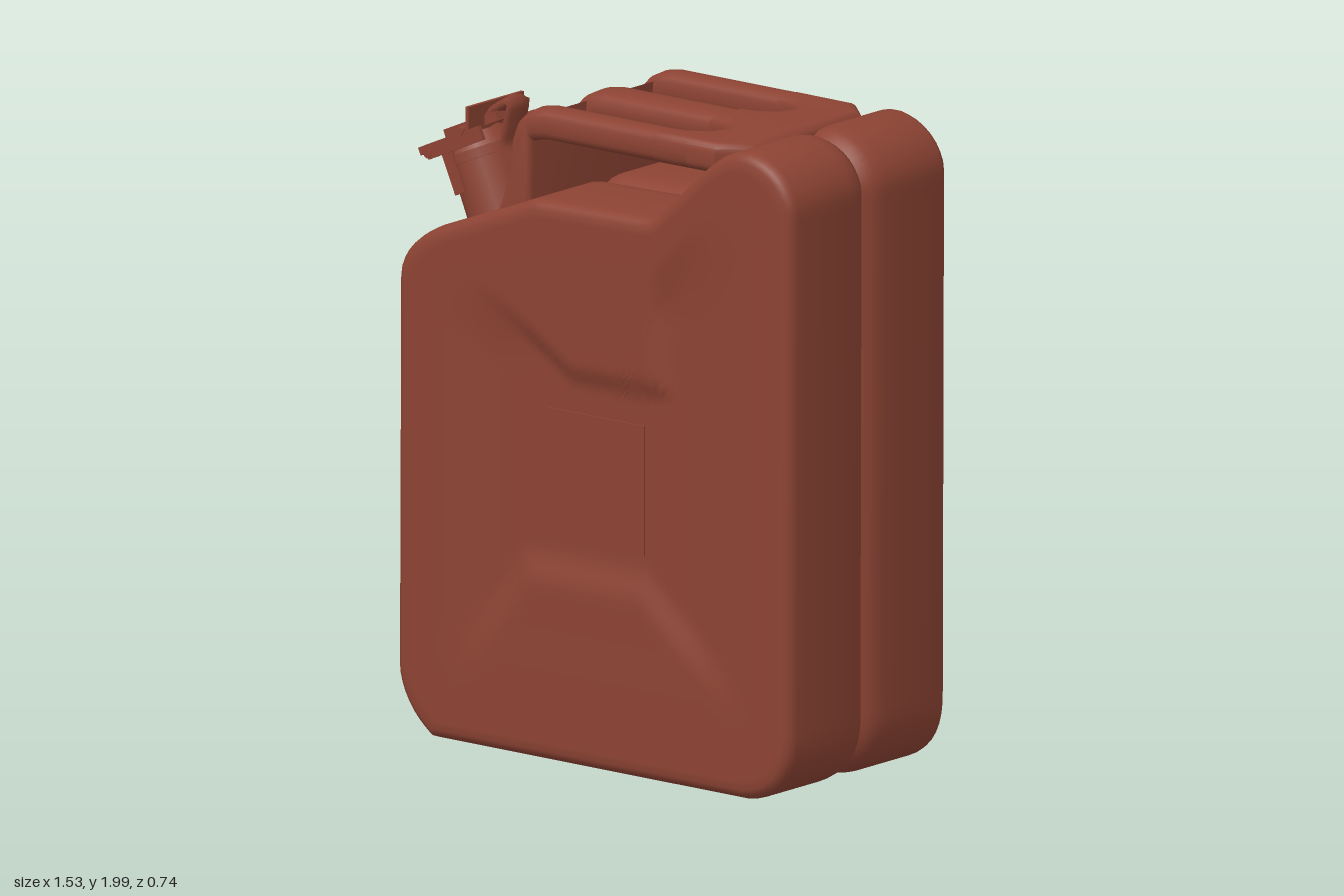
import * as THREE from 'three';
import { toCreasedNormals } from 'three/addons/utils/BufferGeometryUtils.js';

const paint = new THREE.MeshStandardMaterial({ color: 0x8c4333 });
paint.name = 'rust red paint';

function add(parent, name, geometry, x = 0, y = 0, z = 0) {
  const mesh = new THREE.Mesh(geometry, paint);
  mesh.name = name;
  mesh.position.set(x, y, z);
  parent.add(mesh);
  return mesh;
}

const smooth = (v, a, b) => THREE.MathUtils.smoothstep(v, a, b);
const CY = 0.93, COUNT = 200;

// side outline of the can, counterclockwise
function canOutline() {
  const s = new THREE.Shape();
  s.moveTo(0, 0.005);
  s.lineTo(0.58, 0.005);
  s.quadraticCurveTo(0.75, 0.03, 0.76, 0.2);
  s.lineTo(0.765, 1.85);
  s.quadraticCurveTo(0.73, 1.98, 0.58, 1.998);
  s.quadraticCurveTo(0.5, 1.99, 0.42, 1.92);
  s.lineTo(0.22, 1.735);
  s.lineTo(-0.24, 1.725);
  s.lineTo(-0.6, 1.585);
  s.quadraticCurveTo(-0.75, 1.52, -0.765, 1.42);
  s.lineTo(-0.77, 0.2);
  s.quadraticCurveTo(-0.75, 0.08, -0.64, 0.005);
  s.lineTo(0, 0.005);
  return s.getSpacedPoints(COUNT).slice(0, COUNT);
}

// distance of a point to the left of the line a -> b
function leftOf(x, y, ax, ay, bx, by) {
  const dx = bx - ax, dy = by - ay;
  return (dx * (y - ay) - dy * (x - ax)) / Math.hypot(dx, dy);
}

// pressed relief of the large faces: raised top and bottom fields, sunk middle and sides
function relief(x, y, s) {
  const top = Math.min(y - 1.17,
    -leftOf(x, y, -0.14, 1.19, -0.57, 1.47),
    leftOf(x, y, 0.3, 1.16, 0.23, 1.73));
  const bottom = Math.min(0.66 - y,
    -leftOf(x, y, -0.6, 0.2, -0.3, 0.66),
    -leftOf(x, y, 0.2, 0.66, 0.62, 0.3));
  const field = Math.max(smooth(top, 0, 0.07), smooth(bottom, 0, 0.12));
  const z = THREE.MathUtils.lerp(0.346, 0.369, field);
  return THREE.MathUtils.lerp(z, 0.371, smooth(s, 0.45, 0.85));
}

// one half of the can: rolled seam, side wall, rounded edge, pressed face
function shellGeometry(side) {
  const line = canOutline();
  const normals = line.map((p, i) => {
    const a = line[(i + COUNT - 1) % COUNT], b = line[(i + 1) % COUNT];
    return new THREE.Vector2(b.y - a.y, a.x - b.x).normalize();
  });
  const pos = [], index = [];
  let rings = 0;
  const ring = (fn) => {
    line.forEach((p, i) => pos.push(...fn(p, normals[i])));
    rings++;
  };
  const wall = [[0.038, 0], [0.018, 0.018], [0.006, 0.045], [0, 0.085], [0, 0.335],
    [0.004, 0.35], [0.014, 0.363], [0.03, 0.371]];
  for (const [inset, z] of wall) {
    ring((p, n) => [p.x - n.x * inset, p.y - n.y * inset, z * side]);
  }
  const steps = 32;
  for (let k = 1; k <= steps; k++) {
    const s = 1 - k / steps;
    ring((p, n) => {
      const x = (p.x - n.x * 0.03) * s;
      const y = CY + (p.y - n.y * 0.03 - CY) * s;
      return [x, y, relief(x, y, s) * side];
    });
  }
  const tri = (a, b, c) => (side > 0 ? index.push(a, b, c) : index.push(a, c, b));
  for (let r = 0; r < rings - 1; r++) {
    for (let i = 0; i < COUNT; i++) {
      const j = (i + 1) % COUNT;
      const a = r * COUNT + i, b = r * COUNT + j;
      tri(a, b, b + COUNT);
      if (r < rings - 2) tri(a, b + COUNT, a + COUNT);
    }
  }
  const g = new THREE.BufferGeometry();
  g.setAttribute('position', new THREE.Float32BufferAttribute(pos, 3));
  g.setIndex(index);
  return toCreasedNormals(g, 0.6);
}

function polygon(points) {
  return new THREE.Shape(points.map(([x, y]) => new THREE.Vector2(x, y)));
}

// extrusion with rounded edges that keeps the drawn size
function rounded(shape, depth, r) {
  const g = new THREE.ExtrudeGeometry(shape, {
    depth: depth - 2 * r, bevelSize: r, bevelThickness: r, bevelOffset: -r, bevelSegments: 4,
  });
  return toCreasedNormals(g.translate(0, 0, r), 0.7);
}

// one handle bar: a rounded section swept along x, bending down into the upright
function barGeometry(halfWidth) {
  const pos = [], index = [], sides = 20;
  const stations = [[-0.34, 1.86], [-0.325, 1.9], [-0.3, 1.925], [-0.265, 1.942], [-0.22, 1.949], [0.33, 1.949]];
  for (const [x, y] of stations) {
    for (let i = 0; i < sides; i++) {
      const a = (i / sides) * Math.PI * 2, c = Math.cos(a), s = Math.sin(a);
      pos.push(x, y + 0.05 * Math.sign(s) * Math.abs(s) ** 0.7, halfWidth * Math.sign(c) * Math.abs(c) ** 0.7);
    }
  }
  for (let r = 0; r < stations.length - 1; r++) {
    for (let i = 0; i < sides; i++) {
      const j = (i + 1) % sides, a = r * sides + i, b = r * sides + j;
      index.push(a, b + sides, b, a, a + sides, b + sides);
    }
  }
  const g = new THREE.BufferGeometry();
  g.setAttribute('position', new THREE.Float32BufferAttribute(pos, 3));
  g.setIndex(index);
  g.computeVertexNormals();
  return g;
}

function createHandle() {
  const group = new THREE.Group();
  group.name = 'handle';
  // three parallel bars
  add(group, 'middleBar', barGeometry(0.073));
  for (const m of [1, -1]) add(group, 'outerBar', barGeometry(0.05), 0, 0, 0.289 * m);
  // plate that closes the slots with tapered ends and runs into the hump
  const half = [[0.53, 0.25], [0.44, 0.335], [0.2, 0.338], [0.2, 0.242], [0.26, 0.238],
    [0.315, 0.205], [0.332, 0.16], [0.315, 0.11], [0.26, 0.08], [0.2, 0.072]];
  const plate = polygon([...half, ...half.map(([x, z]) => [x, -z]).reverse()]);
  add(group, 'handlePlate', rounded(plate, 0.098, 0.03).rotateX(-Math.PI / 2), 0, 1.9, 0);
  // upright wall at the spout end
  const upright = polygon([[-0.42, 1.62], [-0.275, 1.62], [-0.275, 1.965], [-0.3, 1.955],
    [-0.33, 1.92], [-0.348, 1.87], [-0.365, 1.76], [-0.39, 1.69]]);
  add(group, 'handleUpright', rounded(upright, 0.68, 0.02), 0, 0, -0.34);
  return group;
}

function createSpout() {
  const group = new THREE.Group();
  group.name = 'spout';
  group.position.set(-0.525, 1.6, 0.165);
  group.rotation.z = 0.42;
  add(group, 'neck', new THREE.CylinderGeometry(0.1, 0.105, 0.26, 20), 0, 0.08, 0);
  add(group, 'neckCollar', new THREE.CylinderGeometry(0.115, 0.115, 0.03, 20), 0, 0.19, 0);
  add(group, 'lid', new THREE.CylinderGeometry(0.09, 0.11, 0.06, 20), 0, 0.235, 0);
  add(group, 'lidStrap', new THREE.BoxGeometry(0.22, 0.03, 0.11), 0.04, 0.275, 0);
  add(group, 'frontFlange', new THREE.BoxGeometry(0.08, 0.025, 0.24), -0.09, 0.25, 0);
  // clamp arms on both sides of the lid
  for (const m of [1, -1]) {
    add(group, 'clampArm', new THREE.BoxGeometry(0.23, 0.045, 0.014), 0.02, 0.24, 0.125 * m);
    add(group, 'clampLink', new THREE.BoxGeometry(0.04, 0.14, 0.014), -0.03, 0.16, 0.112 * m);
  }
  const pin = new THREE.CylinderGeometry(0.014, 0.014, 0.27, 10).rotateX(Math.PI / 2);
  add(group, 'hingePin', pin, -0.09, 0.235, 0);
  add(group, 'crossPin', pin, 0.06, 0.265, 0);
  // lever hooked over the rear of the neck
  const path = new THREE.CatmullRomCurve3([[0.08, 0.28], [0.15, 0.3], [0.2, 0.3], [0.16, 0.24], [0.125, 0.19], [0.12, 0.13]]
    .map(([x, y]) => new THREE.Vector3(x, y, 0)));
  add(group, 'lever', new THREE.TubeGeometry(path, 20, 0.018, 8).scale(1, 1, 3));
  const tab = add(group, 'lockTab', new THREE.BoxGeometry(0.012, 0.08, 0.26), 0.1, 0.29, 0);
  tab.rotation.z = -0.42;
  return group;
}

export function createModel() {
  const model = new THREE.Group();
  model.name = 'fuelCan';
  add(model, 'frontShell', shellGeometry(1));
  add(model, 'backShell', shellGeometry(-1));
  // flat panels in the middle of the large faces
  for (const m of [1, -1]) {
    add(model, 'centrePanel', new THREE.BoxGeometry(0.38, 0.4, 0.009), -0.01, 0.89, 0.347 * m);
  }
  model.add(createHandle(), createSpout());
  return model;
}
